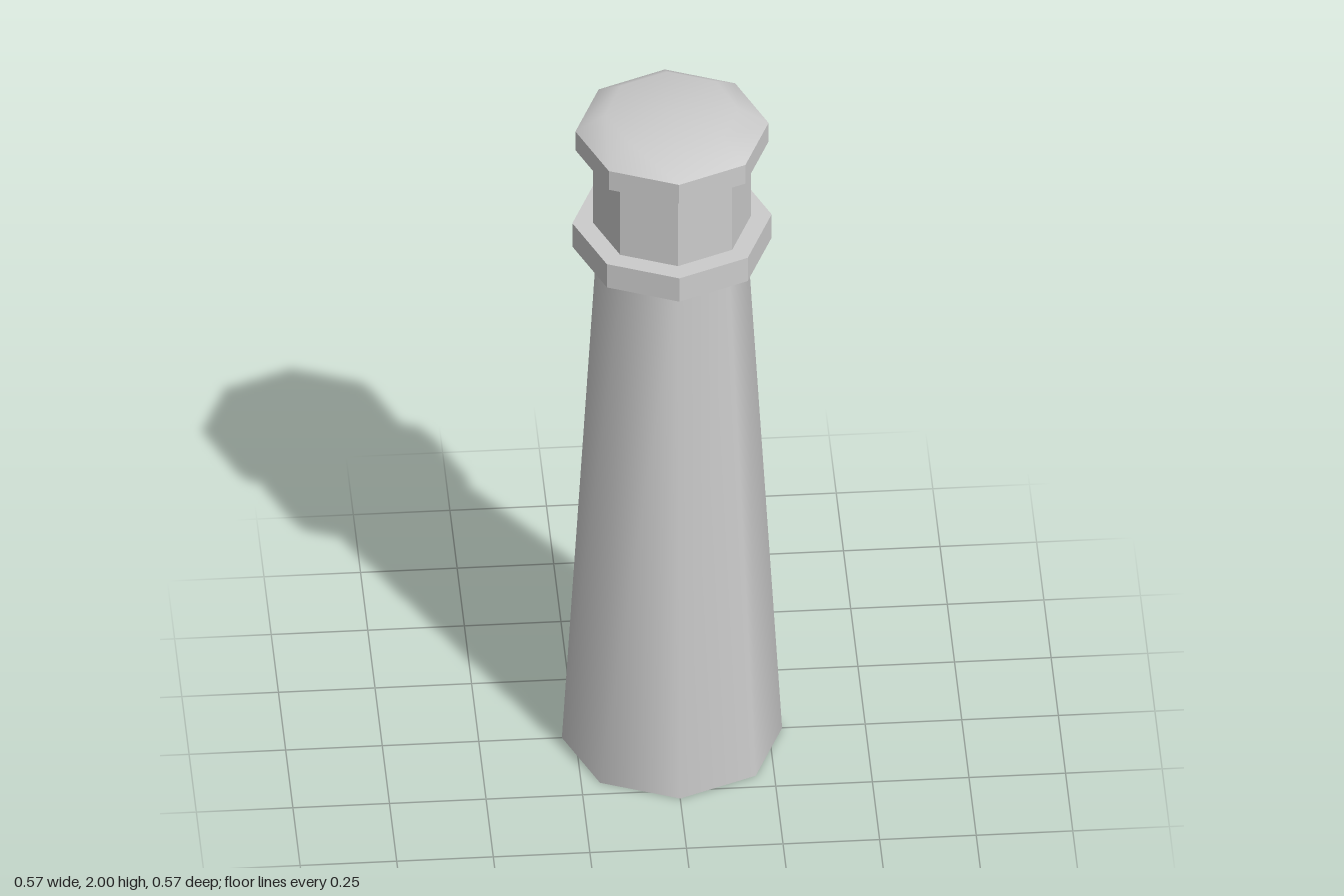
import * as THREE from 'three';

const SIDES = 8;

export function createModel() {
  const group = new THREE.Group();
  group.name = 'lighthouse';

  const smooth = new THREE.MeshStandardMaterial({ color: 0xcccccc, side: THREE.DoubleSide });
  const faceted = new THREE.MeshStandardMaterial({ color: 0xcccccc, flatShading: true });

  const add = (name, geometry, material) => {
    const mesh = new THREE.Mesh(geometry, material);
    mesh.name = name;
    group.add(mesh);
  };

  // Octagonal prism or frustum standing between two heights
  const prism = (rBottom, rTop, y0, y1, open = false) =>
    new THREE.CylinderGeometry(rTop, rBottom, y1 - y0, SIDES, 1, open).translate(0, (y0 + y1) / 2, 0);

  // Tapered shaft, open at the foot, smooth shaded
  add('tower', prism(0.285, 0.195, 0, 1.58, true), smooth);

  // Walkway, lamp room and roof edge, crisp facets
  add('gallery', prism(0.258, 0.258, 1.58, 1.655), faceted);
  add('lanternRoom', prism(0.205, 0.205, 1.655, 1.89), faceted);
  add('roofRim', prism(0.25, 0.25, 1.89, 1.95), faceted);

  // Low roof with a soft shoulder and flat crown
  const profile = [[0.25, 1.95], [0.173, 2], [0, 2]].map(([r, y]) => new THREE.Vector2(r, y));
  add('roof', new THREE.LatheGeometry(profile, SIDES), smooth);

  return group;
}
